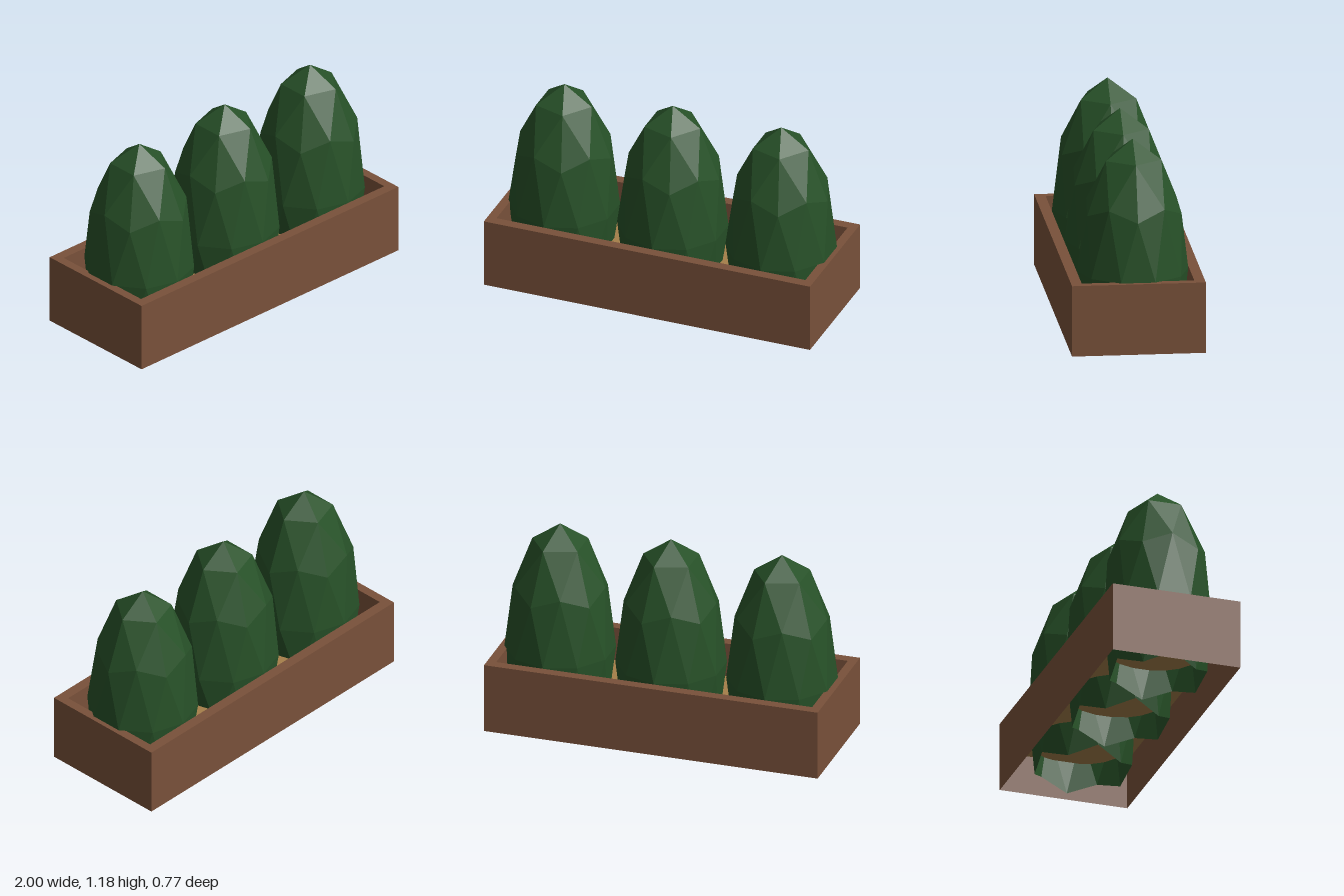
import * as THREE from 'three';

const material = (name, color, side = THREE.DoubleSide) => {
  const m = new THREE.MeshStandardMaterial({ color, side });
  m.name = name;
  return m;
};

// Flat-shaded geometry from a list of triangles, each made of three points
function facets(triangles) {
  const geo = new THREE.BufferGeometry().setFromPoints(triangles.flat());
  geo.computeVertexNormals();
  return geo;
}

// Four-sided walls joining rectangular loops given as [half width, height, half depth]
function rectangularShell(loops) {
  const corners = loops.map(([x, y, z]) =>
    [[-x, z], [x, z], [x, -z], [-x, -z]].map(([cx, cz]) => new THREE.Vector3(cx, y, cz)));
  const tris = [];
  for (let i = 0; i < corners.length - 1; i++) {
    for (let k = 0; k < 4; k++) {
      const n = (k + 1) % 4;
      const [a, b, c, d] = [corners[i][k], corners[i][n], corners[i + 1][n], corners[i + 1][k]];
      tris.push([a, b, c], [a, c, d]);
    }
  }
  return facets(tris);
}

// Faceted egg: a once-subdivided icosahedron, stretched upwards and open below
function bushGeometry(radius, height) {
  const point = (deg, level) => {
    const a = THREE.MathUtils.degToRad(deg);
    const r = radius * Math.sqrt(1 - level * level);
    return new THREE.Vector3(r * Math.cos(a), level * height, -r * Math.sin(a));
  };
  const ring = (count, start, level) =>
    Array.from({ length: count }, (_, i) => point(start + (i * 360) / count, level(i)));
  const apex = point(0, 1);
  const crown = ring(5, 0, () => 0.851);
  const shoulder = ring(10, 0, i => (i % 2 ? 0.526 : 0.447));
  const middle = ring(10, 18, () => 0);
  const hem = ring(10, 0, i => (i % 2 ? -0.447 : -0.526));

  const tris = [];
  for (let k = 0; k < 5; k++) {
    const next = crown[(k + 1) % 5];
    const left = shoulder[(2 * k + 9) % 10];
    const mid = shoulder[2 * k];
    const right = shoulder[2 * k + 1];
    tris.push([apex, crown[k], next], [crown[k], left, mid],
      [crown[k], mid, right], [crown[k], right, next]);
  }
  for (let j = 0; j < 10; j++) {
    const n = (j + 1) % 10, p = (j + 9) % 10;
    tris.push([shoulder[j], middle[j], shoulder[n]], [shoulder[j], middle[p], middle[j]],
      [middle[j], hem[j], hem[n]], [middle[p], hem[j], middle[j]]);
  }
  return facets(tris);
}

export function createModel() {
  const model = new THREE.Group();
  model.name = 'planterWithBushes';
  const wood = material('brown wood', 0x79513a);
  const earth = material('tan soil', 0xa6804a);
  const leaf = material('dark green leaves', 0x275128);

  const rim = 0.415, soilLevel = 0.21;

  // Planter: outer walls, flat rim and inner walls, open underneath
  const planter = new THREE.Mesh(rectangularShell([
    [1, 0, 0.383], [1, rim, 0.383], [0.947, rim, 0.322], [0.947, soilLevel, 0.322],
  ]), wood);
  planter.name = 'planterBox';
  model.add(planter);

  // Soil sheet inside the planter
  const soil = new THREE.Mesh(new THREE.PlaneGeometry(1.894, 0.644).rotateX(-Math.PI / 2), earth);
  soil.name = 'soil';
  soil.position.y = soilLevel;
  model.add(soil);

  // Row of three bushes
  const bushShape = bushGeometry(0.318, 0.77);
  for (const x of [-0.66, 0.005, 0.67]) {
    const bush = new THREE.Mesh(bushShape, leaf);
    bush.name = 'bush';
    bush.position.set(x, rim, 0);
    model.add(bush);
  }
  return model;
}
